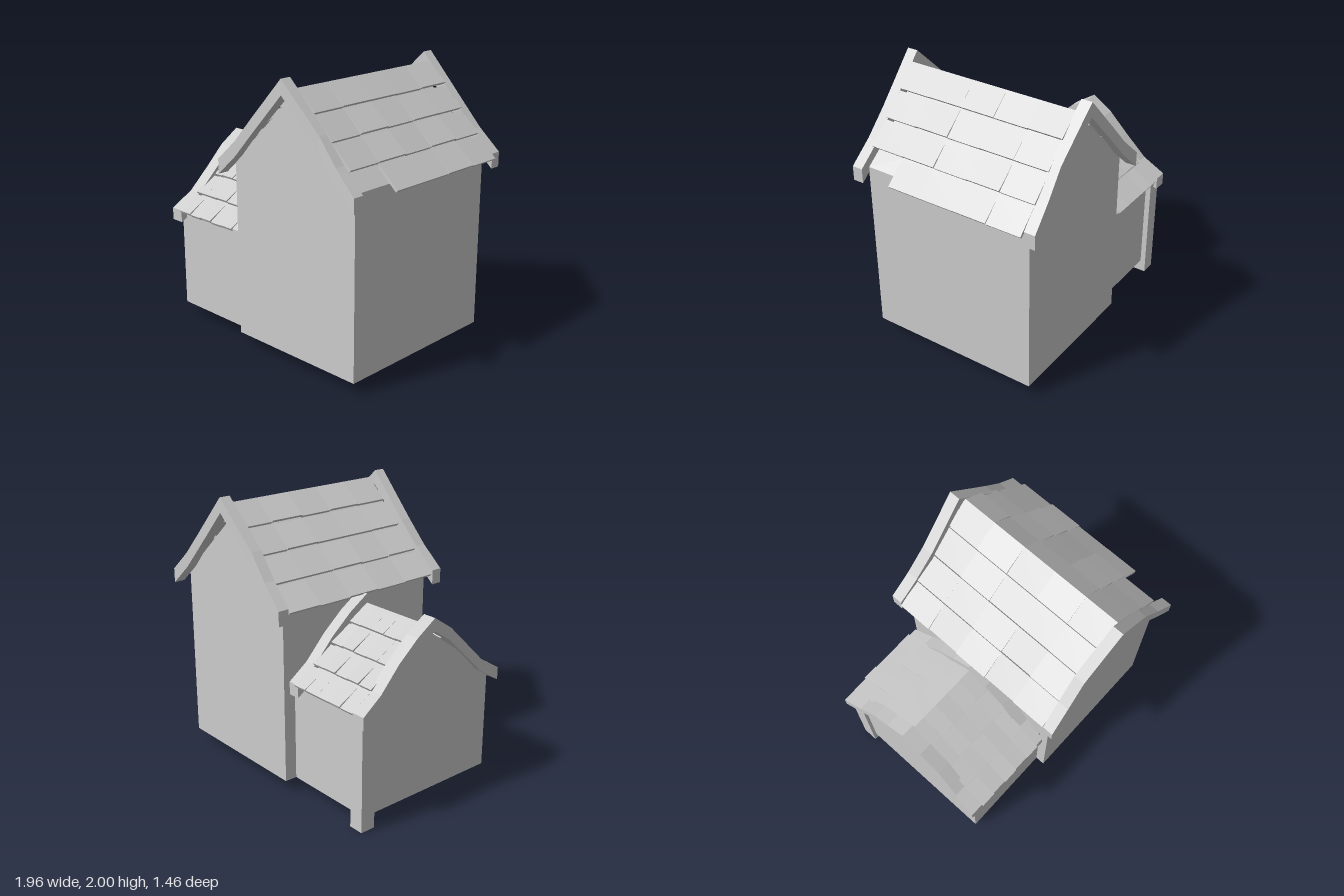
import * as THREE from 'three';

const stone = new THREE.MeshStandardMaterial({ color: 0xcccccc });
stone.name = 'pale grey';

function add(parent, geometry, name) {
  const mesh = new THREE.Mesh(geometry, stone);
  mesh.name = name;
  parent.add(mesh);
  return mesh;
}

// Gabled block: outline in x/y, running along z
function gableBlock(parent, name, x0, x1, xRidge, eave, ridge, z0, z1) {
  const base = 0.09;
  const shape = new THREE.Shape([
    [x0, base], [x1, base], [x1, eave], [xRidge, ridge], [x0, eave],
  ].map(([x, y]) => new THREE.Vector2(x, y)));
  const geo = new THREE.ExtrudeGeometry(shape, { depth: z1 - z0, bevelEnabled: false });
  geo.translate(0, 0, z0);
  add(parent, geo, name);
}

// Rows of overlapping tiles on one slope; each lower edge rests on the row below
function tileSlope(parent, name, o) {
  const slope = new THREE.Group();
  slope.name = name;
  const rows = 4, cols = 5, thick = 0.02, lift = 0.02;
  const width = (o.z1 - o.z0) / cols;
  for (let r = 0; r < rows; r++) {
    for (let c = 0; c < cols; c++) {
      if (o.skip && o.skip(r, c)) continue;
      const wobble = Math.sin(r * 5.3 + c * 2.7 + o.side);
      const d0 = (o.run * r) / rows, d1 = (o.run * (r + 1)) / rows + wobble * 0.004;
      const y0 = o.ridge - (o.drop * r) / rows;
      const y1 = o.ridge - (o.drop * (r + 1)) / rows + lift + wobble * 0.005;
      const angle = Math.atan2(y0 - y1, d1 - d0);
      const tile = add(slope, new THREE.BoxGeometry(Math.hypot(d1 - d0, y0 - y1), thick, width), 'roofTile');
      tile.position.set(
        o.x + o.side * ((d0 + d1) / 2 - Math.sin(angle) * thick / 2),
        (y0 + y1) / 2 - Math.cos(angle) * thick / 2,
        o.z0 + (c + 0.5) * width);
      tile.rotation.z = -o.side * angle;
    }
  }
  parent.add(slope);
}

// Wavy gable board: profile lists [distance from ridge, top height, sideways offset]
function gableBoard(parent, name, profile, x, z, facing, height, width) {
  const n = profile.length - 1;
  const geo = new THREE.BoxGeometry(2 * n, 1, 1, 2 * n, 1, 1).toNonIndexed();
  const p = geo.attributes.position;
  for (let i = 0; i < p.count; i++) {
    const station = Math.round(p.getX(i));
    const [d, top, offset] = profile[Math.abs(station)];
    p.setXYZ(i,
      x + Math.sign(station) * d,
      top - (p.getY(i) < 0 ? height : 0),
      z + facing * offset + p.getZ(i) * width);
  }
  geo.computeVertexNormals();
  add(parent, geo, name);
}

export function createModel() {
  const model = new THREE.Group();
  model.name = 'house';

  // Main house, ridge along z
  const main = new THREE.Group();
  main.name = 'mainHouse';
  gableBlock(main, 'mainWalls', -0.22, 0.87, 0.31, 1.36, 1.865, -0.64, 0.65);
  tileSlope(main, 'mainRoofRight', {
    x: 0.375, side: -1, run: 0.675, drop: 0.62, ridge: 1.94, z0: -0.645, z1: 0.645,
  });
  tileSlope(main, 'mainRoofLeft', {
    x: 0.375, side: 1, run: 0.605, drop: 0.61, ridge: 1.94, z0: -0.645, z1: 0.645,
    skip: (r, c) => r === 3 && c === 4, // one missing tile at the front corner
  });
  const mainBoard = [
    [0, 2.0, 0.015], [0.15, 1.85, 0.005], [0.31, 1.69, -0.005], [0.46, 1.52, 0.005], [0.62, 1.37, 0.018],
  ];
  gableBoard(main, 'mainFrontBoard', mainBoard, 0.315, 0.675, 1, 0.105, 0.08);
  gableBoard(main, 'mainBackBoard', mainBoard, 0.325, -0.672, -1, 0.105, 0.08);
  model.add(main);

  // Side wing, built along z and turned so its ridge runs along x
  const wing = new THREE.Group();
  wing.name = 'sideWing';
  gableBlock(wing, 'wingWalls', -0.575, 0.555, 0, 0.82, 1.235, -0.92, -0.22);
  for (const side of [-1, 1]) {
    tileSlope(wing, side < 0 ? 'wingRoofFront' : 'wingRoofBack', {
      x: 0, side, run: 0.63, drop: 0.455, ridge: 1.275, z0: -0.88, z1: -0.31,
    });
  }
  const wingBoard = [
    [0, 1.34, 0], [0.15, 1.24, 0], [0.3, 1.1, -0.008], [0.46, 0.94, 0.002], [0.62, 0.84, 0.018],
  ];
  gableBoard(wing, 'wingOuterBoard', wingBoard, 0, -0.912, -1, 0.09, 0.1);
  gableBoard(wing, 'wingInnerBoard', wingBoard, 0, -0.275, -1, 0.09, 0.09);
  wing.rotation.y = Math.PI / 2;
  wing.position.z = 0.005;
  model.add(wing);

  // Corner post
  add(model, new THREE.BoxGeometry(0.11, 0.82, 0.11), 'cornerPost').position.set(-0.89, 0.41, -0.535);

  return model;
}
